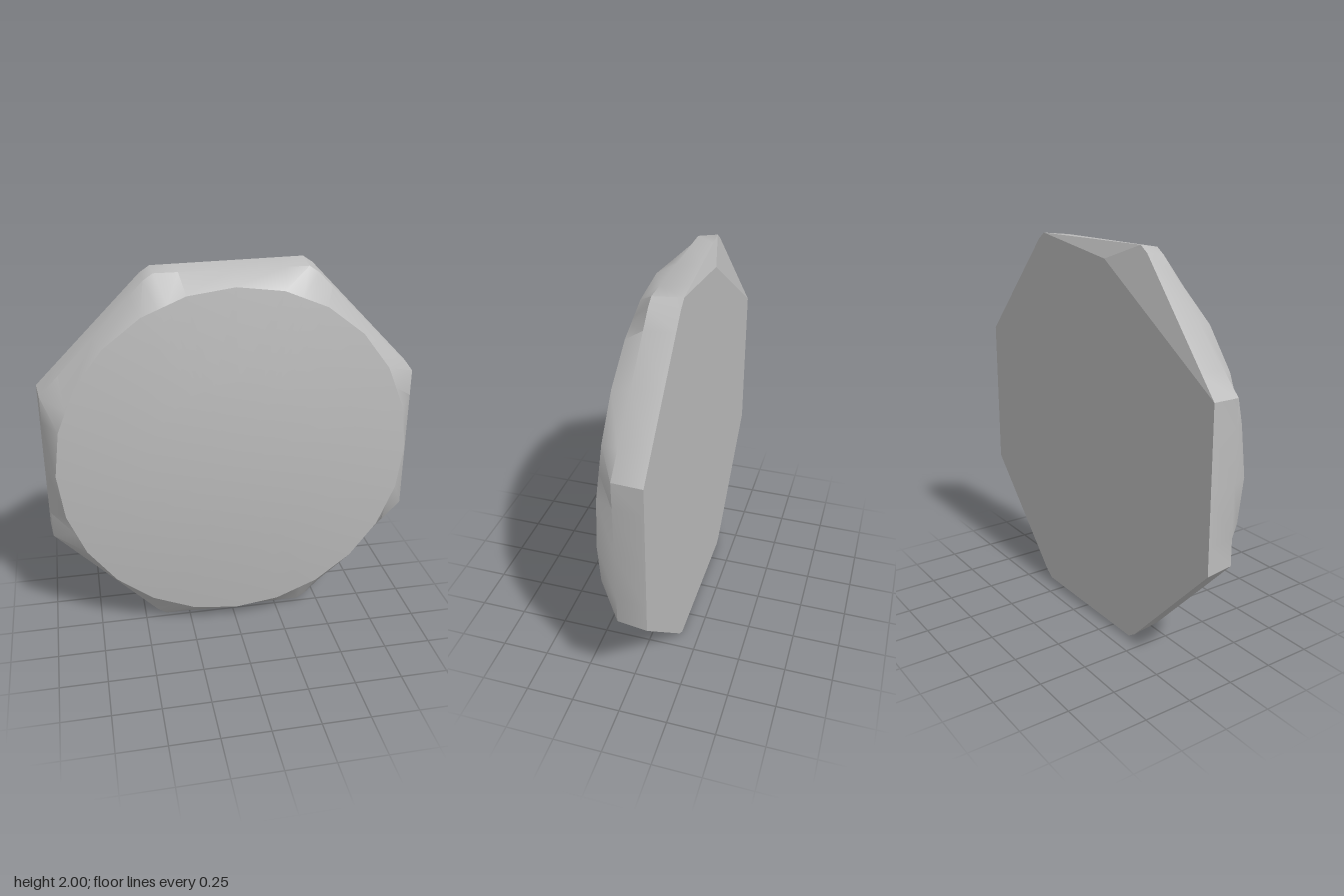
import * as THREE from 'three';
import { toCreasedNormals } from 'three/addons/utils/BufferGeometryUtils.js';

const FRONT = 0.155, BACK = -0.155;
const SIDE_CORNER = [0.985, 0.405], CUT_A = [0.44, 0.967], CUT_B = [0.39, 1.0];

// Distance from the centre to the line through a and b along direction (c, s)
const hit = (a, b, c, s) => {
  const nx = b[1] - a[1], ny = a[0] - b[0];
  return (nx * a[0] + ny * a[1]) / (nx * c + ny * s);
};

// Radius of the octagon outline with nipped top and bottom corners
function octagonRadius(angle) {
  const c = Math.abs(Math.cos(angle)), s = Math.abs(Math.sin(angle));
  const diag = hit(SIDE_CORNER, CUT_A, c, s), cut = hit(CUT_A, CUT_B, c, s);
  return Math.min(SIDE_CORNER[0] / Math.max(c, 1e-6), CUT_B[1] / Math.max(s, 1e-6), diag, cut);
}

// Radius of a regular 24-sided outline
function roundRadius(angle, r) {
  const step = Math.PI / 12;
  const a = ((angle % step) + step) % step - step / 2;
  return r * Math.cos(step / 2) / Math.cos(a);
}

// Angles through every corner, mirrored to a full turn
function ringAngles() {
  const quarter = [15, 30, 45, 60, 75].map(THREE.MathUtils.degToRad);
  for (const [x, y] of [SIDE_CORNER, CUT_A, CUT_B]) quarter.push(Math.atan2(y, x));
  const all = [0, Math.PI / 2, Math.PI, Math.PI * 1.5];
  for (const a of quarter) all.push(a, Math.PI - a, Math.PI + a, 2 * Math.PI - a);
  return all.sort((a, b) => a - b);
}

// The back rim is chipped forward at the upper corner on the -x side
function backDepth(x, y) {
  let t = 0;
  if (y > 0.4 && x < 0.39) {
    if (x < -CUT_A[0]) t = (x + SIDE_CORNER[0]) / (SIDE_CORNER[0] - CUT_A[0]);
    else if (y > 0.9) t = (0.39 - x) / 0.78;
  }
  return BACK + 0.05 * THREE.MathUtils.clamp(t, 0, 1);
}

function makeGeometry(triangles, crease) {
  const g = new THREE.BufferGeometry();
  g.setAttribute('position', new THREE.Float32BufferAttribute(triangles.flat(2), 3));
  return toCreasedNormals(g, crease);
}

// Quads between consecutive rings, listed from back to front
function band(rings) {
  const tris = [];
  for (let k = 0; k + 1 < rings.length; k++) {
    const a = rings[k], b = rings[k + 1];
    a.forEach((p, i) => {
      const j = (i + 1) % a.length;
      tris.push([p, a[j], b[j]], [p, b[j], b[i]]);
    });
  }
  return tris;
}

// Triangles from a hub point out to a ring
function fan(ring, hub, flip) {
  return ring.map((p, i) => {
    const q = ring[(i + 1) % ring.length];
    return flip ? [hub, q, p] : [hub, p, q];
  });
}

export function createModel() {
  const group = new THREE.Group();
  group.name = 'octagonalDisc';
  const grey = new THREE.MeshStandardMaterial({ color: 0xbcbcbc });
  grey.name = 'plain grey';

  const angles = ringAngles();
  const ring = (radius, depth) => angles.map((a) => {
    const x = radius(a) * Math.cos(a), y = radius(a) * Math.sin(a);
    return [x, y + 1, typeof depth === 'function' ? depth(x, y) : depth];
  });
  const rear = ring(octagonRadius, backDepth);
  const shoulder = ring((a) => octagonRadius(a) * 0.985, -0.005);
  const faceRim = ring((a) => roundRadius(a, 0.925), 0.095);
  const centreRim = ring((a) => roundRadius(a, 0.47), FRONT);

  const add = (name, triangles, crease) => {
    const mesh = new THREE.Mesh(makeGeometry(triangles, crease), grey);
    mesh.name = name;
    group.add(mesh);
  };
  // Octagonal wall with bevels running up to the round face
  add('bevelledRim', band([rear, shoulder, faceRim]), 0.7);
  // Shallow cone around a flat centre
  add('frontFace', [...band([faceRim, centreRim]), ...fan(centreRim, [0, 1, FRONT], false)], 0.7);
  // Flat back; the fan starts at the inner point of the chip
  add('backFace', fan(rear, [-0.17, 1.92, BACK], true), 0.2);
  return group;
}
